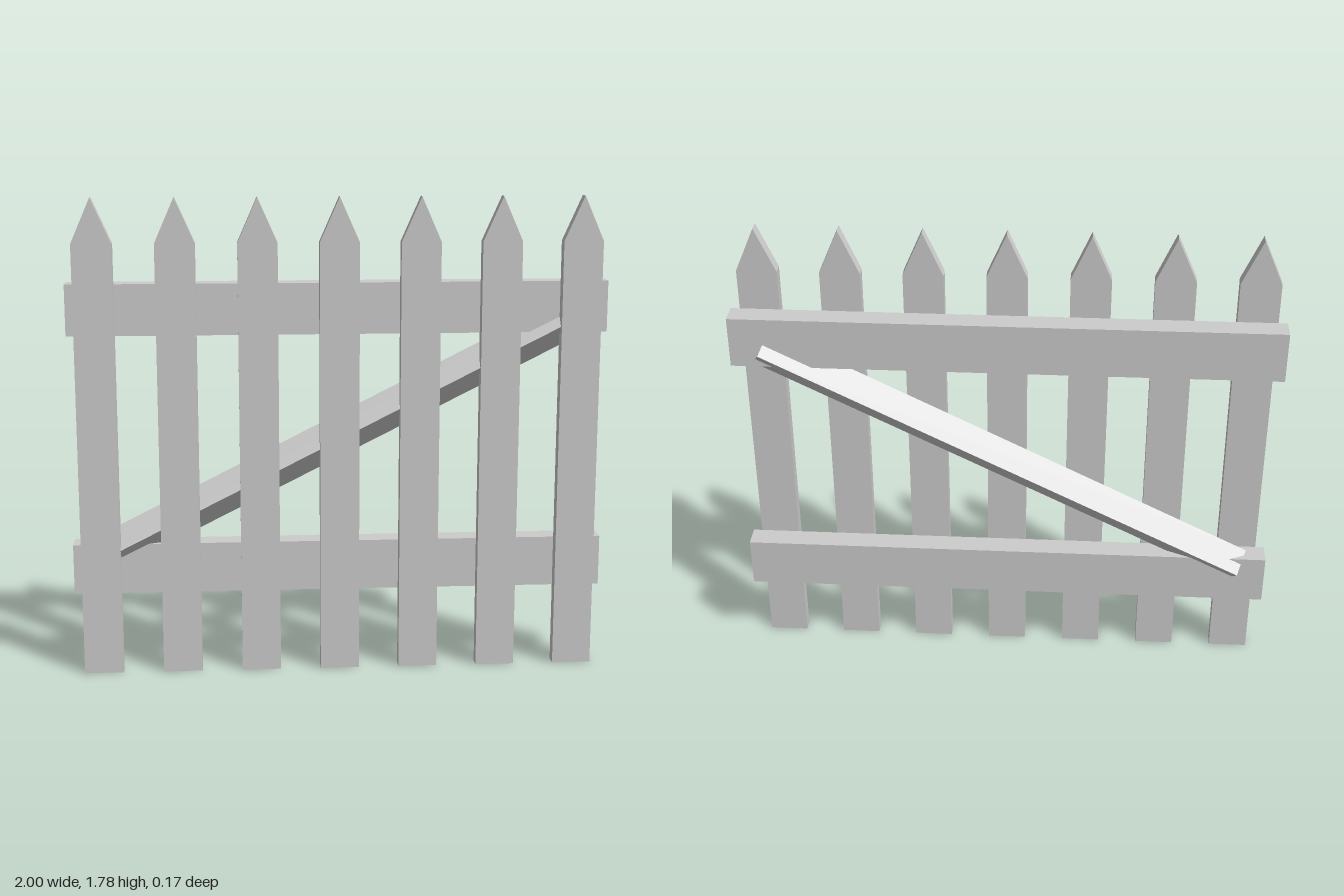
import * as THREE from 'three';

export function createModel() {
  const model = new THREE.Group();
  model.name = 'picketGate';
  const wood = new THREE.MeshStandardMaterial({ color: 0xcccccc });
  wood.name = 'pale grey wood';

  const add = (name, geometry, x, y, z) => {
    const mesh = new THREE.Mesh(geometry, wood);
    mesh.name = name;
    mesh.position.set(x, y, z);
    model.add(mesh);
    return mesh;
  };

  // Seven pointed pickets
  const w = 0.073;
  const outline = new THREE.Shape([
    new THREE.Vector2(-w, 0),
    new THREE.Vector2(w, 0),
    new THREE.Vector2(w, 1.62),
    new THREE.Vector2(0, 1.785),
    new THREE.Vector2(-w, 1.62),
  ]);
  const picketGeometry = new THREE.ExtrudeGeometry(outline, { depth: 0.047, bevelEnabled: false });
  for (let i = 0; i < 7; i++) {
    add(`picket${i + 1}`, picketGeometry, (i - 3) * 0.298, 0, 0.036);
  }

  // Two horizontal rails behind the pickets
  const railGeometry = new THREE.BoxGeometry(2, 0.19, 0.086);
  add('lowerRail', railGeometry, 0, 0.395, -0.007);
  add('upperRail', railGeometry, 0, 1.375, -0.007);

  // Square diagonal brace set on its edge, passing through both rails
  const braceGeometry = new THREE.BoxGeometry(2, 0.106, 0.106);
  braceGeometry.rotateX(Math.PI / 4);
  const brace = add('diagonalBrace', braceGeometry, 0, 0.888, -0.008);
  brace.rotation.z = THREE.MathUtils.degToRad(26.8);

  return model;
}
